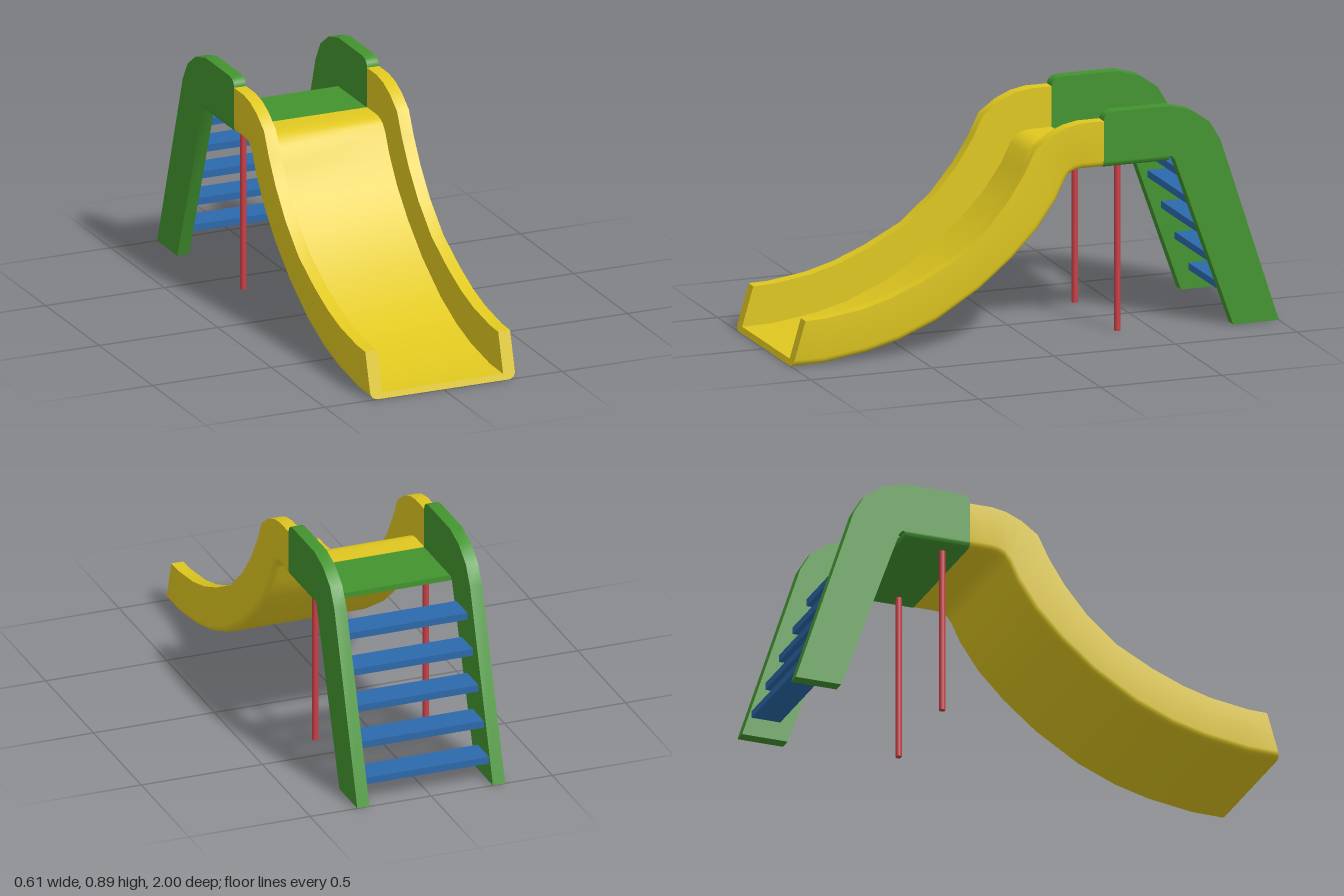
import * as THREE from 'three';
import { toCreasedNormals } from 'three/addons/utils/BufferGeometryUtils.js';

const OUT = 0.305, IN = 0.255, FLOOR_Y = 0.695, BOTTOM_Y = 0.673;
const mat = (color) => new THREE.MeshStandardMaterial({ color });
const yellow = mat(0xe0c820), green = mat(0x43942f), blue = mat(0x2c69ab), red = mat(0xc94048);

function add(group, name, geometry, material, x = 0, y = 0, z = 0) {
  const mesh = new THREE.Mesh(geometry, material);
  mesh.name = name;
  mesh.position.set(x, y, z);
  group.add(mesh);
  return mesh;
}

// U-shaped chute swept down the curve: each station is [bottom z, bottom y, rim z, rim y]
function chuteGeometry() {
  const stations = [
    [1, 0, 0.947, 0.18], [0.87, 0.002, 0.87, 0.182], [0.69, 0.028, 0.716, 0.204],
    [0.555, 0.063, 0.6, 0.236], [0.4, 0.127, 0.474, 0.287], [0.225, 0.235, 0.324, 0.365],
    [0.09, 0.345, 0.2, 0.472], [-0.015, 0.452, 0.11, 0.58], [-0.09, 0.56, 0.046, 0.68],
    [-0.125, 0.632, 0, 0.772], [-0.143, 0.659, -0.067, 0.82], [-0.165, 0.669, -0.13, 0.847],
    [-0.19, BOTTOM_Y, -0.19, 0.858], [-0.28, BOTTOM_Y, -0.28, 0.858],
  ];
  // Cross-section, anticlockwise, as (x, fraction of wall height)
  const right = [[IN, 0.13], [IN, 1], [OUT, 1]];
  const corner = [];
  for (let k = 0; k <= 4; k++) {
    const a = (k / 4) * Math.PI / 2;
    corner.push([OUT - 0.03 + 0.03 * Math.cos(a), 0.15 - 0.15 * Math.sin(a)]);
  }
  const half = [...right, ...corner];
  const mirrored = half.map(([x, t]) => [-x, t]).reverse();
  const ring = [...mirrored, ...half].reverse();
  if (THREE.ShapeUtils.area(ring.map(([x, y]) => new THREE.Vector2(x, y))) < 0) ring.reverse();

  const n = ring.length, pos = [], idx = [];
  for (const [bz, by, tz, ty] of stations)
    for (const [x, t] of ring) pos.push(x, by + (ty - by) * t, bz + (tz - bz) * t);
  for (let i = 0; i < stations.length - 1; i++)
    for (let k = 0; k < n; k++) {
      const a = i * n + k, b = i * n + (k + 1) % n, d = a + n, c = b + n;
      idx.push(a, d, b, b, d, c);
    }
  // End caps
  const last = (stations.length - 1) * n;
  const contour = ring.map(([x, t]) => new THREE.Vector2(x, t));
  for (const [a, b, c] of THREE.ShapeUtils.triangulateShape(contour, []))
    idx.push(a, b, c, last + a, last + c, last + b);

  const geo = new THREE.BufferGeometry();
  geo.setAttribute('position', new THREE.Float32BufferAttribute(pos, 3));
  geo.setIndex(idx);
  return toCreasedNormals(geo, 0.6);
}

// Side panel and ladder rail in one outline, drawn as (-z, y)
function panelGeometry() {
  const outline = [
    [0.28, FLOOR_Y], [0.55, FLOOR_Y], [0.562, 0.692], [0.572, 0.68], [0.812, 0], [1, 0],
    [0.76, 0.74], [0.716, 0.815], [0.64, 0.868], [0.55, 0.893], [0.325, 0.893],
    [0.3, 0.888], [0.285, 0.876], [0.28, 0.86],
  ].map(([x, y]) => new THREE.Vector2(x, y));
  const geo = new THREE.ExtrudeGeometry(new THREE.Shape(outline), { depth: OUT - IN, bevelEnabled: false });
  geo.rotateY(Math.PI / 2);
  return toCreasedNormals(geo, 0.6);
}

// Platform floor with rounded lower edges
function platformGeometry() {
  const r = FLOOR_Y - BOTTOM_Y;
  const s = new THREE.Shape();
  s.moveTo(OUT, FLOOR_Y);
  s.lineTo(-OUT, FLOOR_Y);
  s.absarc(-OUT + r, FLOOR_Y, r, Math.PI, Math.PI * 1.5, false);
  s.absarc(OUT - r, FLOOR_Y, r, Math.PI * 1.5, Math.PI * 2, false);
  const geo = new THREE.ExtrudeGeometry(s, { depth: 0.27, bevelEnabled: false, curveSegments: 5 });
  return toCreasedNormals(geo, 0.6);
}

export function createModel() {
  const model = new THREE.Group();
  model.name = 'playgroundSlide';

  add(model, 'chute', chuteGeometry(), yellow);
  add(model, 'platform', platformGeometry(), green, 0, 0, -0.55);

  // Side panels and support poles
  const panel = panelGeometry();
  const pole = new THREE.CylinderGeometry(0.0125, 0.0125, 0.68, 16);
  for (const [side, sign, x] of [['left', 1, IN], ['right', -1, -OUT]]) {
    add(model, side + 'SidePanel', panel, green, x);
    add(model, side + 'Pole', pole, red, sign * 0.228, 0.34, -0.365);
  }

  // Ladder steps
  const ladder = new THREE.Group();
  ladder.name = 'ladderSteps';
  const step = new THREE.BoxGeometry(IN * 2 + 0.01, 0.028, 0.118);
  for (let i = 0; i < 5; i++)
    add(ladder, 'step' + (i + 1), step, blue, 0, 0.09 + i * 0.128, -0.902 + i * 0.0565);
  model.add(ladder);

  return model;
}
